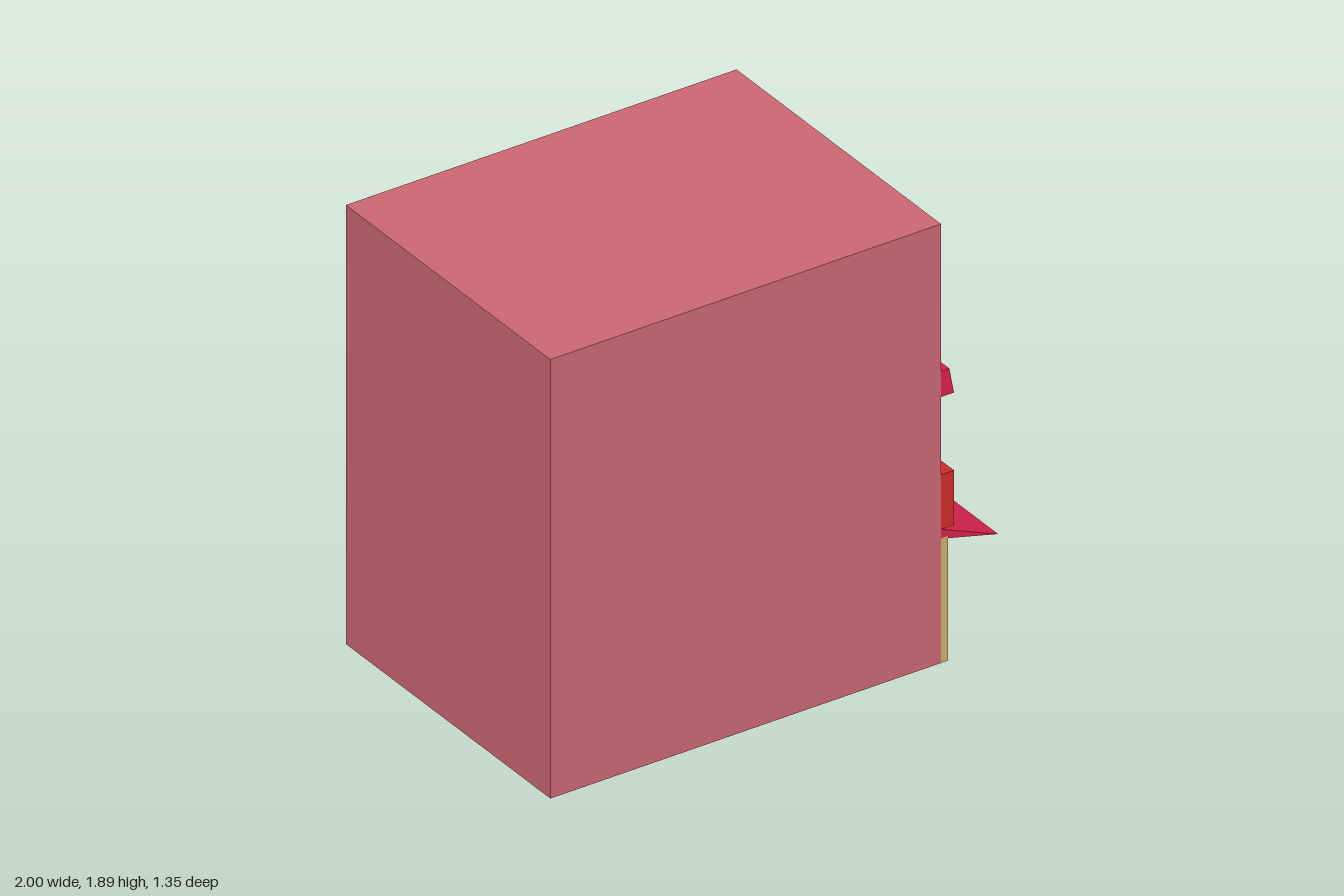
import * as THREE from 'three';

const mat = (name, color, side = THREE.FrontSide) => {
  const m = new THREE.MeshStandardMaterial({ color, side });
  m.name = name;
  return m;
};

export function createModel() {
  const group = new THREE.Group();
  const pink = mat('pinkWall', 0xca6772, THREE.DoubleSide);
  const crimson = mat('crimsonTrim', 0xd8224a);
  const red = mat('redSign', 0xcc2c2a);
  const grey = mat('greyPanel', 0xc6c6c6);
  const glass = mat('blueGlass', 0x74c3cc);
  const tan = mat('tanPillar', 0xc9b26e);
  const brown = mat('brownWood', 0x7b5642);

  const W = 0.674;   // half width of the shop front
  const X = 0.745;   // plane of the shop front wall

  const add = (name, geometry, material) => {
    const mesh = new THREE.Mesh(geometry, material);
    mesh.name = name;
    group.add(mesh);
    return mesh;
  };
  // Box given by its limits on each axis
  const block = (name, material, x0, x1, y0, y1, z0, z1) => {
    const g = new THREE.BoxGeometry(x1 - x0, y1 - y0, z1 - z0);
    g.translate((x0 + x1) / 2, (y0 + y1) / 2, (z0 + z1) / 2);
    return add(name, g, material);
  };
  // Side profile in x, y swept across the full width
  const sweep = (name, material, points) => {
    const shape = new THREE.Shape(points.map(([x, y]) => new THREE.Vector2(x, y)));
    const g = new THREE.ExtrudeGeometry(shape, { depth: 2 * W, bevelEnabled: false });
    g.translate(0, 0, -W);
    return add(name, g, material);
  };

  // Building shell, open underneath
  const shell = block('buildingShell', pink, -1, X, 0, 1.89, -W, W);
  const index = Array.from(shell.geometry.index.array);
  index.splice(18, 6); // bottom face
  shell.geometry.setIndex(index);
  shell.geometry.clearGroups();

  // Sloped ledge and awning
  sweep('upperLedge', crimson, [[X, 1.145], [0.803, 1.145], [0.782, 1.256], [X, 1.256]]);
  sweep('awning', crimson, [[X, 0.535], [1, 0.47], [X, 0.575]]);

  // Sign board with a chamfered blank panel
  block('signBoard', red, X, 0.803, 0.575, 0.81, -W, W);
  const a = 0.645, b = 0.075, c = 0.014;
  const outline = [[-a, -b + c], [-a + c, -b], [a - c, -b], [a, -b + c],
    [a, b - c], [a - c, b], [-a + c, b], [-a, b - c]];
  const panel = new THREE.ExtrudeGeometry(
    new THREE.Shape(outline.map(([x, y]) => new THREE.Vector2(x, y))),
    { depth: 0.004, bevelEnabled: false });
  panel.rotateY(Math.PI / 2).translate(0.801, 0.695, 0);
  add('signPanel', panel, grey);

  // Door glass
  block('doorGlass', glass, X, 0.75, 0, 0.535, -0.2, 0.2);

  // Mirrored pillars, door posts, windows and panels
  for (const s of [-1, 1]) {
    const side = s > 0 ? 'left' : 'right';
    const pair = (name, material, x1, y0, y1, near, far) =>
      block(side + name, material, X, x1, y0, y1, Math.min(s * near, s * far), Math.max(s * near, s * far));
    pair('Pillar', tan, 0.777, 0, 0.537, 0.553, W);
    pair('DoorPost', brown, 0.783, 0, 0.537, 0.2, 0.243);
    pair('Window', glass, 0.75, 0.18, 0.535, 0.243, 0.553);
    pair('WindowPanel', brown, 0.755, 0, 0.18, 0.243, 0.553);
  }
  return group;
}
